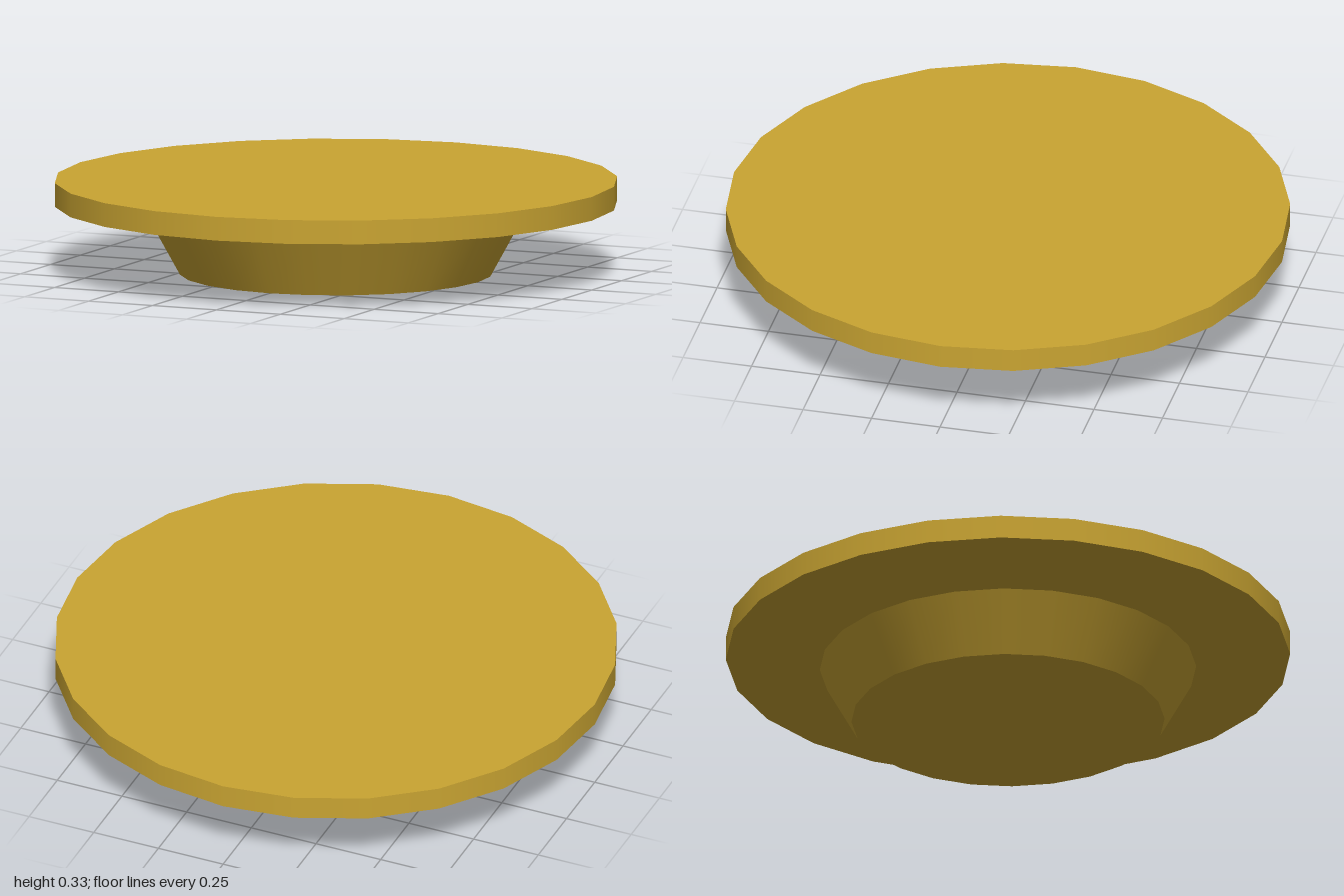
import * as THREE from 'three';

const SIDES = 24;

export function createModel() {
  const group = new THREE.Group();
  group.name = 'footedPlate';
  const material = new THREE.MeshStandardMaterial({ color: 0xc9a432 });

  const add = (name, geometry, y) => {
    const mesh = new THREE.Mesh(geometry, material);
    mesh.name = name;
    mesh.position.y = y;
    group.add(mesh);
  };
  // Open ring wall between two heights
  const band = (name, rBottom, rTop, y0, y1) =>
    add(name, new THREE.CylinderGeometry(rTop, rBottom, y1 - y0, SIDES, 1, true), (y0 + y1) / 2);
  // Flat cap; dir 1 faces up, -1 faces down
  const cap = (name, r, y, dir) =>
    add(name, new THREE.CircleGeometry(r, SIDES).rotateX(-dir * Math.PI / 2), y);

  // Foot
  cap('footBase', 0.555, 0, -1);
  band('footWall', 0.555, 0.667, 0, 0.204);

  // Plate
  band('plateUnderside', 0.667, 1, 0.204, 0.248);
  band('plateRim', 1, 1, 0.248, 0.333);
  cap('plateTop', 1, 0.333, 1);

  return group;
}
